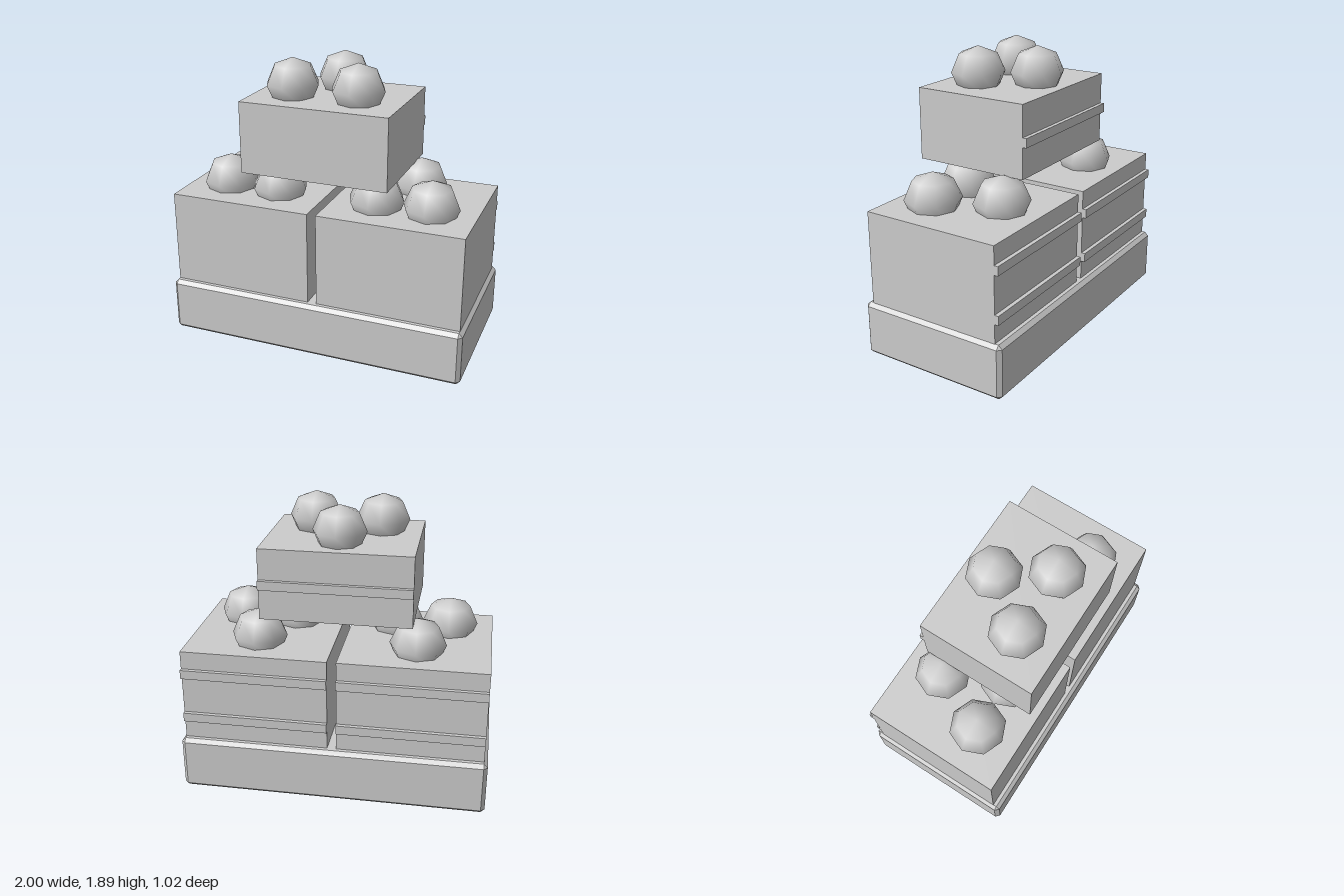
import * as THREE from 'three';
import { ConvexGeometry } from 'three/addons/geometries/ConvexGeometry.js';

const grey = new THREE.MeshStandardMaterial({ color: 0xcccccc });
grey.name = 'light grey';

function add(parent, name, geometry, x, y, z) {
  const mesh = new THREE.Mesh(geometry, grey);
  mesh.name = name;
  mesh.position.set(x, y, z);
  parent.add(mesh);
  return mesh;
}

// Box with one flat chamfer on every edge, given by half sizes
function chamferedBox(hx, hy, hz, c) {
  const points = [];
  for (const sx of [-1, 1]) for (const sy of [-1, 1]) for (const sz of [-1, 1]) {
    points.push(
      new THREE.Vector3(sx * hx, sy * (hy - c), sz * (hz - c)),
      new THREE.Vector3(sx * (hx - c), sy * hy, sz * (hz - c)),
      new THREE.Vector3(sx * (hx - c), sy * (hy - c), sz * hz)
    );
  }
  return new ConvexGeometry(points);
}

// Crate with slats along its back and balls half sunk into its top
function crate({ name, x, width, bottom, top, front, back, slats, balls, radius, squash, ballY }) {
  const group = new THREE.Group();
  group.name = name;
  add(group, 'crateBody', new THREE.BoxGeometry(width, top - bottom, front - back),
    x, (top + bottom) / 2, (front + back) / 2);
  for (const y of slats) {
    add(group, 'backSlat', new THREE.BoxGeometry(width, 0.06, 0.03), x, y, back - 0.011);
  }
  for (const [bx, bz] of balls) {
    add(group, 'ball', new THREE.SphereGeometry(radius, 8, 4), bx, ballY, bz).scale.y = squash;
  }
  return group;
}

export function createModel() {
  const model = new THREE.Group();
  model.name = 'stackedCrates';

  // Base block
  add(model, 'base', chamferedBox(1, 0.181, 0.512, 0.025), 0, 0.181, 0);

  // Two lower crates, mirrored
  for (const side of [-1, 1]) {
    model.add(crate({
      name: side > 0 ? 'leftCrate' : 'rightCrate',
      x: side * 0.503, width: 0.947, bottom: 0.36, top: 0.977, front: 0.463, back: -0.462,
      slats: [0.517, 0.827],
      balls: [[side * 0.693, 0.18], [side * 0.334, 0.18], [side * 0.513, -0.205]],
      radius: 0.182, squash: 0.95, ballY: 1.03
    }));
  }

  // Upper crate
  model.add(crate({
    name: 'upperCrate',
    x: -0.002, width: 0.967, bottom: 1.183, top: 1.646, front: 0.434, back: -0.331,
    slats: [1.415],
    balls: [[-0.232, 0.178], [0.204, 0.178], [0, -0.13]],
    radius: 0.173, squash: 0.95, ballY: 1.726
  }));

  return model;
}
